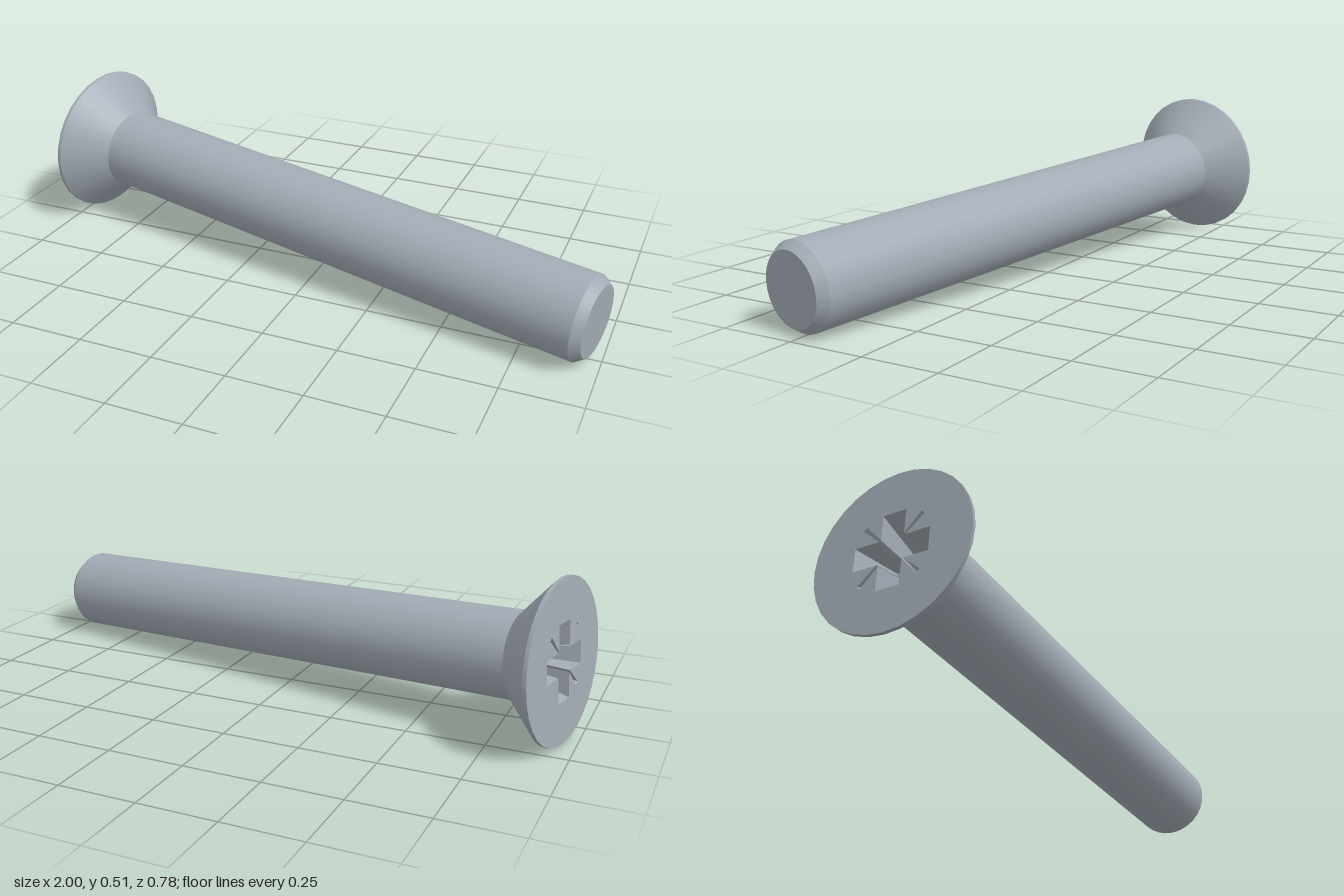
import * as THREE from 'three';

const HEAD_R = 0.2575, SHAFT_R = 0.138, TIP_R = 0.116;
const RIM = 0.012, NECK = 0.132, CHAMFER = 0.03, DEPTH = 0.13;

// Outline of the cross recess with a thin groove in each inner corner (counter-clockwise)
function recessOutline(scale = 1) {
  const reach = 0.122, half = 0.038, groove = 0.095, t = 0.005;
  const quarter = [
    [reach, -half], [reach, half],
    [half + t, half], [groove + t, groove - t], [groove - t, groove + t], [half, half + t],
  ];
  const points = [];
  for (let i = 0; i < 4; i++) {
    for (const [x, y] of quarter) {
      points.push(new THREE.Vector2(x, y).rotateAround(new THREE.Vector2(), i * Math.PI / 2).multiplyScalar(scale));
    }
  }
  return points;
}

// Tapered side walls joining two outlines, facing inwards
function recessWalls(top, bottom, depth) {
  const positions = [];
  top.forEach((a, i) => {
    const j = (i + 1) % top.length;
    const a0 = [a.x, a.y, 0], a1 = [top[j].x, top[j].y, 0];
    const b0 = [bottom[i].x, bottom[i].y, depth], b1 = [bottom[j].x, bottom[j].y, depth];
    positions.push(...a0, ...b0, ...a1, ...a1, ...b0, ...b1);
  });
  const geometry = new THREE.BufferGeometry();
  geometry.setAttribute('position', new THREE.Float32BufferAttribute(positions, 3));
  geometry.computeVertexNormals();
  return geometry;
}

export function createModel() {
  const steel = new THREE.MeshStandardMaterial({ color: 0xa3abb5 });
  steel.name = 'steel';

  const screw = new THREE.Group();
  screw.name = 'screw';
  const add = (name, geometry) => {
    const mesh = new THREE.Mesh(geometry, steel);
    mesh.name = name;
    screw.add(mesh);
  };

  // The screw runs along local +z, from the head face at 0 to the tip
  const headCentre = new THREE.Vector3(-0.9445, 0.259, -0.141);
  const tipCentre = new THREE.Vector3(0.975, 0.142, 0.263);
  const length = headCentre.distanceTo(tipCentre);

  // Turned sections, kept separate so their edges stay sharp
  const turned = (name, r0, z0, r1, z1, sides) => add(name, new THREE.LatheGeometry(
    [new THREE.Vector2(r0, z0), new THREE.Vector2(r1, z1)], sides).rotateX(Math.PI / 2));
  turned('headRim', HEAD_R, 0, HEAD_R, RIM, 32);
  turned('headCone', HEAD_R, RIM, SHAFT_R, NECK, 32);
  turned('shaft', SHAFT_R, NECK, SHAFT_R, length - CHAMFER, 32);
  turned('tipChamfer', SHAFT_R, length - CHAMFER, TIP_R, length, 32);
  turned('tipFace', TIP_R, length, 0, length, 32);

  // Head face with the cross cut out
  const top = recessOutline(), bottom = recessOutline(0.6);
  const rimPoints = Array.from({ length: 32 }, (_, i) => {
    const a = i / 32 * Math.PI * 2;
    return new THREE.Vector2(Math.cos(a) * HEAD_R, Math.sin(a) * HEAD_R);
  });
  const face = new THREE.Shape(rimPoints);
  face.holes.push(new THREE.Path(top));
  add('headFace', new THREE.ShapeGeometry(face).rotateY(Math.PI));

  // Drive recess
  add('recessWalls', recessWalls(top, bottom, DEPTH));
  add('recessFloor', new THREE.ShapeGeometry(new THREE.Shape(bottom)).rotateY(Math.PI).translate(0, 0, DEPTH));

  // Lay the screw down at its resting angle
  const axis = tipCentre.clone().sub(headCentre).normalize();
  const side = new THREE.Vector3(0, 1, 0).cross(axis).normalize();
  const up = axis.clone().cross(side);
  screw.quaternion.setFromRotationMatrix(new THREE.Matrix4().makeBasis(side, up, axis));
  screw.position.copy(headCentre);

  const model = new THREE.Group();
  model.name = 'countersunkScrew';
  model.add(screw);
  return model;
}
